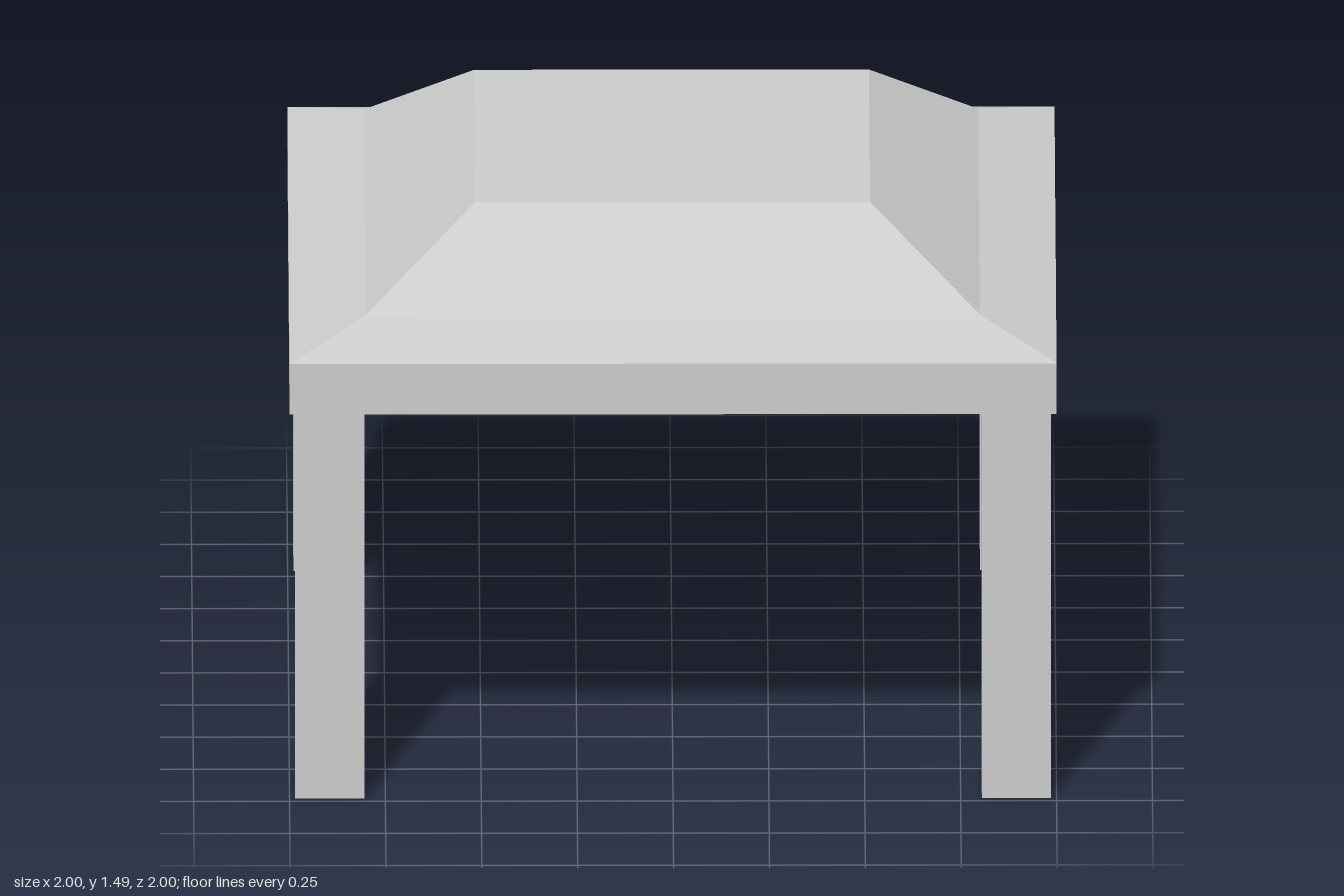
import * as THREE from 'three';

export function createModel() {
  const model = new THREE.Group();
  const material = new THREE.MeshStandardMaterial({ color: 0xcccccc, flatShading: true });

  // Hollow square roof: half-width and height, from ceiling centre round to the top
  const profile = [
    [0, 1.35], [0.515, 1.35], // flat ceiling
    [0.8, 1.22], [0.8, 1.14], [0.9, 1.14], [0.9, 1.07], // stepped inner frame
    [1, 1.07], [1, 1.21], // fascia
    [0.8, 1.275], [0.515, 1.485], [0, 1.485], // two slopes and flat top
  ].map(([r, y]) => new THREE.Vector2(r * Math.SQRT2, y));
  const roofGeometry = new THREE.LatheGeometry(profile, 4, Math.PI / 4).toNonIndexed();
  roofGeometry.computeVertexNormals();
  const roof = new THREE.Mesh(roofGeometry, material);
  roof.name = 'roof';
  model.add(roof);

  // Four corner posts, let into the frame
  const postGeometry = new THREE.BoxGeometry(0.18, 1.15, 0.185);
  for (const [x, side] of [[1, 'Left'], [-1, 'Right']]) {
    for (const [z, end] of [[1, 'front'], [-1, 'back']]) {
      const post = new THREE.Mesh(postGeometry, material);
      post.name = `${end}${side}Post`;
      post.position.set(x * 0.895, 0.575, z * 0.886);
      model.add(post);
    }
  }
  return model;
}
